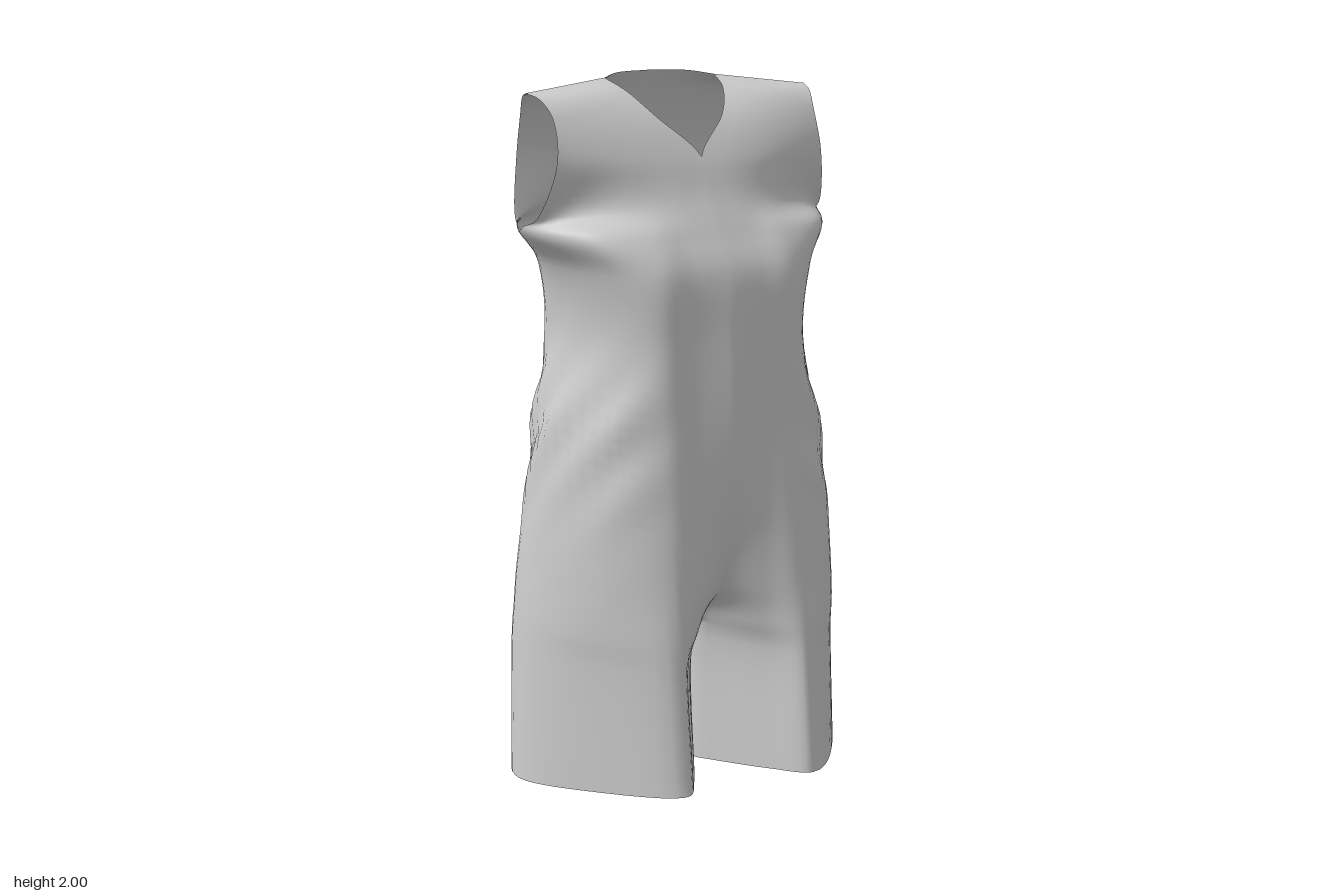
import * as THREE from 'three';
import { mergeVertices } from 'three/addons/utils/BufferGeometryUtils.js';

const V = (x, y, z) => new THREE.Vector3(x, y, z);
const { lerp, smoothstep } = THREE.MathUtils;
const HALF = 24;   // columns across the front, and again across the back
const SUB = 7;     // rows between two key sections
const CROTCH = 2;  // key section where the legs join

// Key heights from hem to armpit:
// [y, centre front z, front z, front corner fullness, side x, side z, back corner x, back z, centre back z]
const sections = [
  [0.04, .04, .375, .52, .5, -.08, .42, -.34, -.02],
  [0.42, .04, .335, .58, .48, -.08, .41, -.365, -.02],
  [0.5, .08, .325, .62, .475, -.08, .4, -.37, -.12],
  [0.6, .2, .31, .66, .465, -.08, .39, -.375, -.28],
  [0.8, .265, .285, .7, .44, -.06, .37, -.37, -.345],
  [1.05, .28, .26, .7, .405, -.05, .345, -.35, -.36],
  [1.3, .268, .245, .74, .345, -.06, .315, -.335, -.355],
  [1.49, .24, .235, .78, .375, -.09, .33, -.335, -.345],
  [1.59, .185, .18, .75, .452, -.11, .365, -.33, -.345],
];

const spread = (points, n) => new THREE.CatmullRomCurve3(points).getPoints(n);

// Half cross-section from centre front round the side to centre back
function lowerRow([y, centreFront, front, fullness, side, sideZ, backCorner, back, centreBack], i) {
  const gap = i < CROTCH ? .006 : 0;
  const outline = [
    [gap, centreFront],
    [i < CROTCH ? .12 : .1, lerp(centreFront, front, .68)],
    [.2, front],
    [side * .79, lerp(sideZ, front, fullness)],
    [side, sideZ],
    [backCorner, lerp(sideZ, back, .75)],
    [.2, back],
    [.09, lerp(centreBack, back, .6)],
    [gap, centreBack],
  ];
  // The hem rises towards the front
  return spread(outline.map(([x, z]) => V(x, i ? y : y + .11 * z, z)), HALF * 2);
}

// Yoke section between two edges, bulging along z
const yokeRow = (from, to, bulge) => spread([0, .25, .5, .75, 1].map((s) => {
  const p = from.clone().lerp(to, s);
  p.z += bulge * Math.sin(Math.PI * s);
  return p;
}), HALF);

// Shoulder seam from neck to tip, and neckline from shoulder to centre back
const neck = V(.17, 1.987, -.17);
const shoulder = yokeRow(neck, V(.43, 1.957, -.115), 0);
const neckline = spread([neck, V(.11, 1.997, -.215), V(0, 2, -.235)], HALF / 2);

// Front yoke: centre and V-neck edge to armhole edge
const frontYoke = [
  yokeRow(V(0, 1.69, .125), V(.438, 1.63, -.03), .055),
  yokeRow(V(0, 1.785, .08), V(.405, 1.78, .03), .02),
  yokeRow(V(.1, 1.89, .01), V(.4, 1.895, -.005), .01),
  yokeRow(V(.148, 1.955, -.075), V(.415, 1.942, -.055), .015),
  shoulder,
];

// Back yoke: armhole edge to centre back
const backYoke = [
  yokeRow(V(.438, 1.625, -.185), V(0, 1.69, -.34), -.06),
  yokeRow(V(.4, 1.78, -.255), V(0, 1.8, -.325), -.02),
  yokeRow(V(.4, 1.89, -.225), V(0, 1.91, -.285), -.015),
  yokeRow(V(.417, 1.942, -.17), V(0, 1.968, -.255), -.02),
  [...shoulder.filter((_, i) => i % 2 === 0).reverse(), ...neckline.slice(1)],
];

// Soft diagonal folds on the sides of the waist and hips
function fold(p) {
  const mask = smoothstep(p.x, .12, .34) * Math.exp(-(((p.y - 1.05) / .2) ** 2));
  const k = 1 + .024 * mask * Math.sin(24 * (p.y - 1.37 * p.z));
  p.x *= k;
  p.z *= k;
}

// Columns of points running from hem to shoulder
function panel(keyRows) {
  return keyRows[0].map((_, j) => {
    const column = spread(keyRows.map((row) => row[j]), (keyRows.length - 1) * SUB);
    column.forEach((p) => {
      if (p.x < .003) p.x = 0;
      fold(p);
    });
    return column;
  });
}

function buildGarment() {
  const lower = sections.map(lowerRow);
  const front = panel([...lower.map((r) => r.slice(0, HALF + 1)), ...frontYoke]);
  const back = panel([...lower.map((r) => r.slice(HALF)), ...backYoke]);

  // Close the side below the armhole
  const armpit = (sections.length - 1) * SUB;
  for (let i = 0; i <= armpit; i++) back[0][i].copy(front[HALF][i]);

  const positions = [];
  const triangle = (a, b, c) => {
    for (const p of [a, b, c]) positions.push(p.x, p.y, p.z);
    for (const p of [a, c, b]) positions.push(-p.x, p.y, p.z); // mirrored half
  };
  const strip = (left, right, rows) => {
    for (let i = 0; i < rows; i++) {
      triangle(left[i], right[i], right[i + 1]);
      triangle(left[i], right[i + 1], left[i + 1]);
    }
  };
  for (const cols of [front, back]) {
    for (let j = 0; j < HALF; j++) strip(cols[j], cols[j + 1], cols[j].length - 1);
  }
  // Inner leg, from hem to crotch
  strip(back[HALF], front[0], CROTCH * SUB);

  const raw = new THREE.BufferGeometry();
  raw.setAttribute('position', new THREE.Float32BufferAttribute(positions, 3));
  const geometry = mergeVertices(raw, 1e-4);
  geometry.computeVertexNormals();
  return geometry;
}

export function createModel() {
  const group = new THREE.Group();
  group.name = 'romper';
  const cloth = new THREE.MeshStandardMaterial({ color: 0xcccccc, side: THREE.DoubleSide });
  const garment = new THREE.Mesh(buildGarment(), cloth);
  garment.name = 'sleevelessGarment';
  group.add(garment);
  return group;
}
